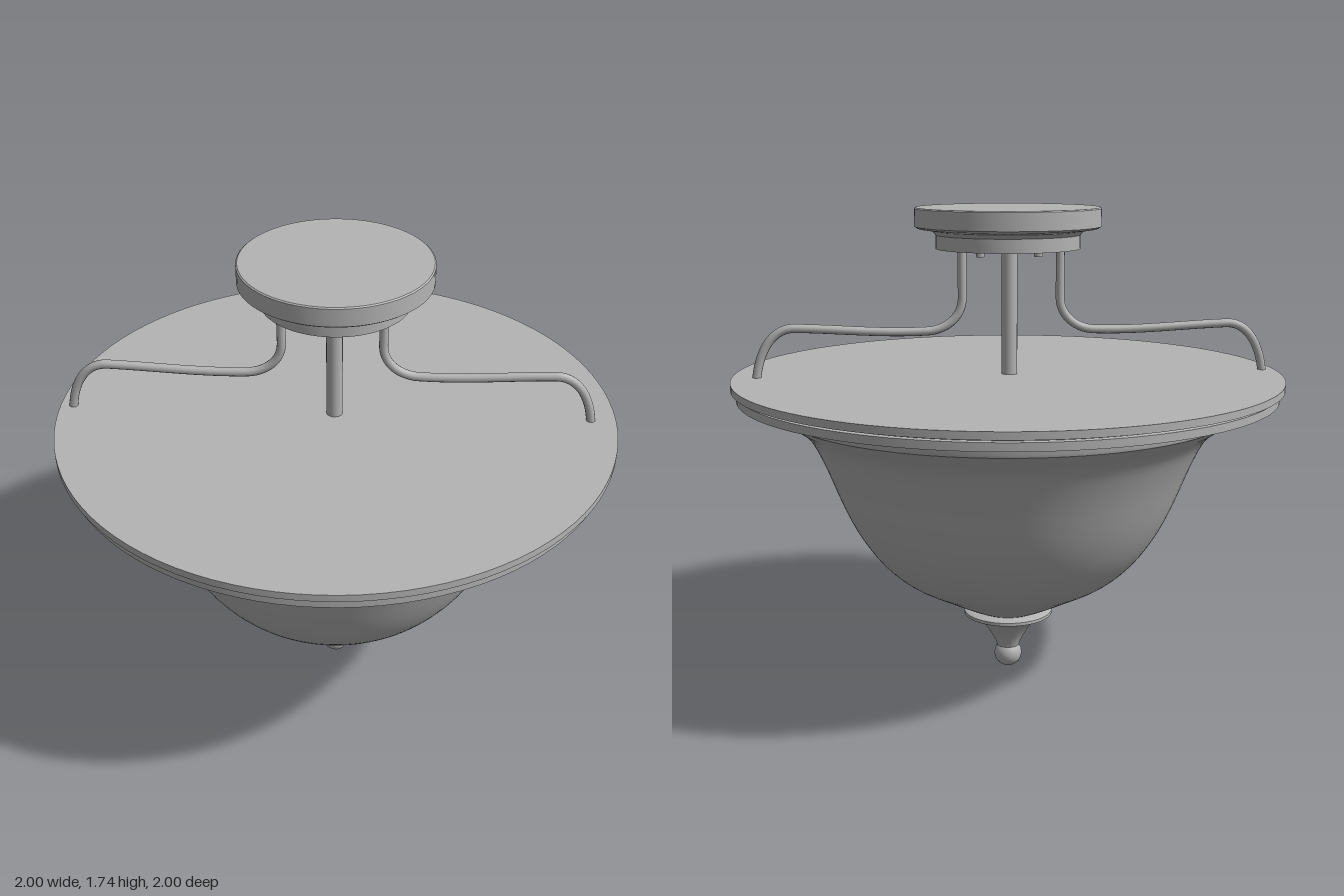
import * as THREE from 'three';
import { toCreasedNormals } from 'three/addons/utils/BufferGeometryUtils.js';

const metal = new THREE.MeshStandardMaterial({ color: 0xb4b4b4 });
metal.name = 'satin grey';

const v2 = (pts) => pts.map(([r, y]) => new THREE.Vector2(r, y));

function addMesh(group, name, geometry) {
  const mesh = new THREE.Mesh(geometry, metal);
  mesh.name = name;
  group.add(mesh);
  return mesh;
}

// Turned part; the profile runs from bottom to top
function turned(group, name, pts, segments = 64) {
  return addMesh(group, name, toCreasedNormals(new THREE.LatheGeometry(v2(pts), segments), 0.6));
}

function rod(group, name, radius, x, y0, y1) {
  const mesh = addMesh(group, name, new THREE.CylinderGeometry(radius, radius, y1 - y0, 20));
  mesh.position.set(x, (y0 + y1) / 2, 0);
}

// Bent arm in the z = 0 plane, from the canopy down to the plate
function arm(group, name, side, top, end) {
  const p = (x, y) => new THREE.Vector3(side * x, y, 0);
  const path = new THREE.CurvePath();
  path.add(new THREE.LineCurve3(p(top, 1.62), p(top, 1.42)));
  path.add(new THREE.CubicBezierCurve3(p(top, 1.42), p(top, 1.35), p(top + 0.06, 1.302), p(top + 0.13, 1.3)));
  path.add(new THREE.CubicBezierCurve3(p(top + 0.13, 1.3), p(top + 0.3, 1.293), p(end - 0.3, 1.312), p(end - 0.14, 1.316)));
  path.add(new THREE.CubicBezierCurve3(p(end - 0.14, 1.316), p(end - 0.06, 1.316), p(end - 0.01, 1.23), p(end, 1.12)));
  addMesh(group, name, new THREE.TubeGeometry(path, 90, 0.016, 12, false));
}

export function createModel() {
  const model = new THREE.Group();
  model.name = 'ceilingLamp';

  // Stepped ceiling canopy
  turned(model, 'canopy', [
    [0, 1.596], [0.26, 1.596], [0.26, 1.645], [0.275, 1.66],
    [0.325, 1.668], [0.335, 1.675], [0.335, 1.738], [0.33, 1.742], [0, 1.742],
  ]);

  // Central stem and arms
  rod(model, 'stem', 0.029, -0.005, 1.13, 1.6);
  arm(model, 'leftArm', 1, 0.166, 0.912);
  arm(model, 'rightArm', -1, 0.19, 0.955);

  // Small studs under the canopy and under the plate
  for (const x of [-0.11, 0.1]) rod(model, 'canopyStud', 0.016, x, 1.565, 1.6);
  for (const x of [-0.957, 0.914]) rod(model, 'plateStud', 0.013, x, 1.05, 1.09);

  // Wide double-rimmed plate
  turned(model, 'plate', [
    [0, 1.075], [0.982, 1.075], [0.982, 1.103], [0.965, 1.105],
    [0.965, 1.112], [1, 1.114], [1, 1.14], [0, 1.14],
  ], 96);

  // Bell-shaped bowl
  const bell = new THREE.SplineCurve(v2([
    [0.1, 0.225], [0.17, 0.257], [0.28, 0.315], [0.41, 0.39], [0.51, 0.49], [0.595, 0.63],
    [0.68, 0.835], [0.735, 0.94], [0.8, 0.995], [0.834, 1.02],
  ])).getPoints(40).map((q) => [q.x, q.y]);
  turned(model, 'bowl', [[0, 0.225], ...bell, [0.837, 1.03], [0.837, 1.076]], 96);

  // Finial with collar, flared neck and ball
  turned(model, 'finial', [
    [0, 0.08], [0.042, 0.085], [0.048, 0.105], [0.065, 0.135], [0.09, 0.175],
    [0.12, 0.202], [0.155, 0.213], [0.167, 0.218], [0.167, 0.23], [0.155, 0.236], [0, 0.236],
  ], 48);
  const ball = addMesh(model, 'finialBall', new THREE.SphereGeometry(0.052, 32, 20));
  ball.position.y = 0.052;

  return model;
}
